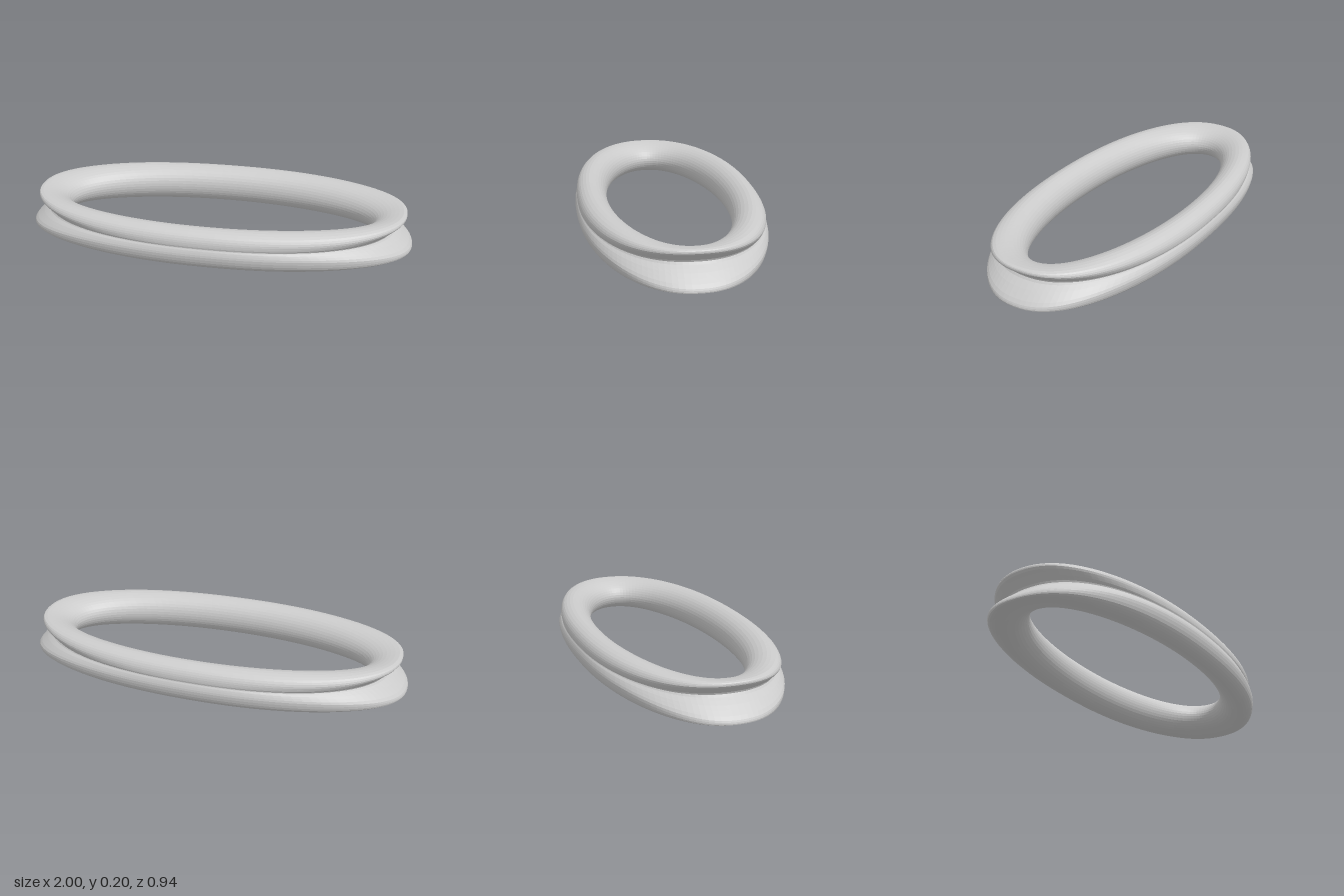
import * as THREE from 'three';

const AROUND = 120; // steps around the oval
const PER_POINT = 3; // samples between section points

// Matching cross-section points [radius, y], from the bottom outward, up and back inside
const SIDE = [
  [0.39, 0], [0.43, 0.009], [0.457, 0.035], [0.47, 0.08], [0.464, 0.108],
  [0.459, 0.118], [0.461, 0.128], [0.458, 0.155], [0.44, 0.183], [0.395, 0.2],
  [0.345, 0.182], [0.315, 0.145], [0.305, 0.1], [0.315, 0.055], [0.345, 0.017],
];
const END = [
  [0.9, 0.017], [0.965, 0.009], [0.997, 0.013], [0.993, 0.032], [0.94, 0.082],
  [0.9, 0.118], [0.925, 0.145], [0.96, 0.176], [0.957, 0.191], [0.9, 0.187],
  [0.845, 0.168], [0.81, 0.14], [0.795, 0.1], [0.81, 0.06], [0.85, 0.03],
];

const closedCurve = (pts) =>
  new THREE.CatmullRomCurve3(pts.map(([r, y]) => new THREE.Vector3(r, y, 0)), true, 'centripetal');

// Signed power, for the slightly squared oval
const spow = (v, p) => Math.sign(v) * Math.abs(v) ** p;

function ringGeometry() {
  const n = SIDE.length * PER_POINT;
  const side = closedCurve(SIDE), end = closedCurve(END);
  const section = Array.from({ length: n }, (_, j) => [side.getPoint(j / n), end.getPoint(j / n)]);
  const positions = [], index = [];
  for (let i = 0; i < AROUND; i++) {
    const t = (i / AROUND) * Math.PI * 2;
    const c = Math.cos(t), s = Math.sin(t);
    const w = c ** 4; // 1 at the ends, 0 along the long sides
    section.forEach(([a, b], j) => {
      // True ellipse inside, a fuller oval outside
      const k = THREE.MathUtils.clamp((a.x - 0.305) / 0.15, 0, 1);
      const p = 2 / (2 + 0.22 * k);
      positions.push(b.x * spow(c, p), THREE.MathUtils.lerp(a.y, b.y, w), a.x * spow(s, p));
      const i2 = (i + 1) % AROUND, j2 = (j + 1) % n;
      const q0 = i * n + j, q1 = i * n + j2, q2 = i2 * n + j2, q3 = i2 * n + j;
      index.push(q0, q1, q2, q0, q2, q3);
    });
  }
  const g = new THREE.BufferGeometry();
  g.setAttribute('position', new THREE.Float32BufferAttribute(positions, 3));
  g.setIndex(index);
  g.computeVertexNormals();
  return g;
}

export function createModel() {
  const group = new THREE.Group();
  group.name = 'ovalRing';
  // Oval ring with a groove that deepens at both ends
  const ring = new THREE.Mesh(
    ringGeometry(),
    new THREE.MeshStandardMaterial({ color: 0xcccccc, flatShading: true })
  );
  ring.name = 'groovedRing';
  group.add(ring);
  return group;
}
